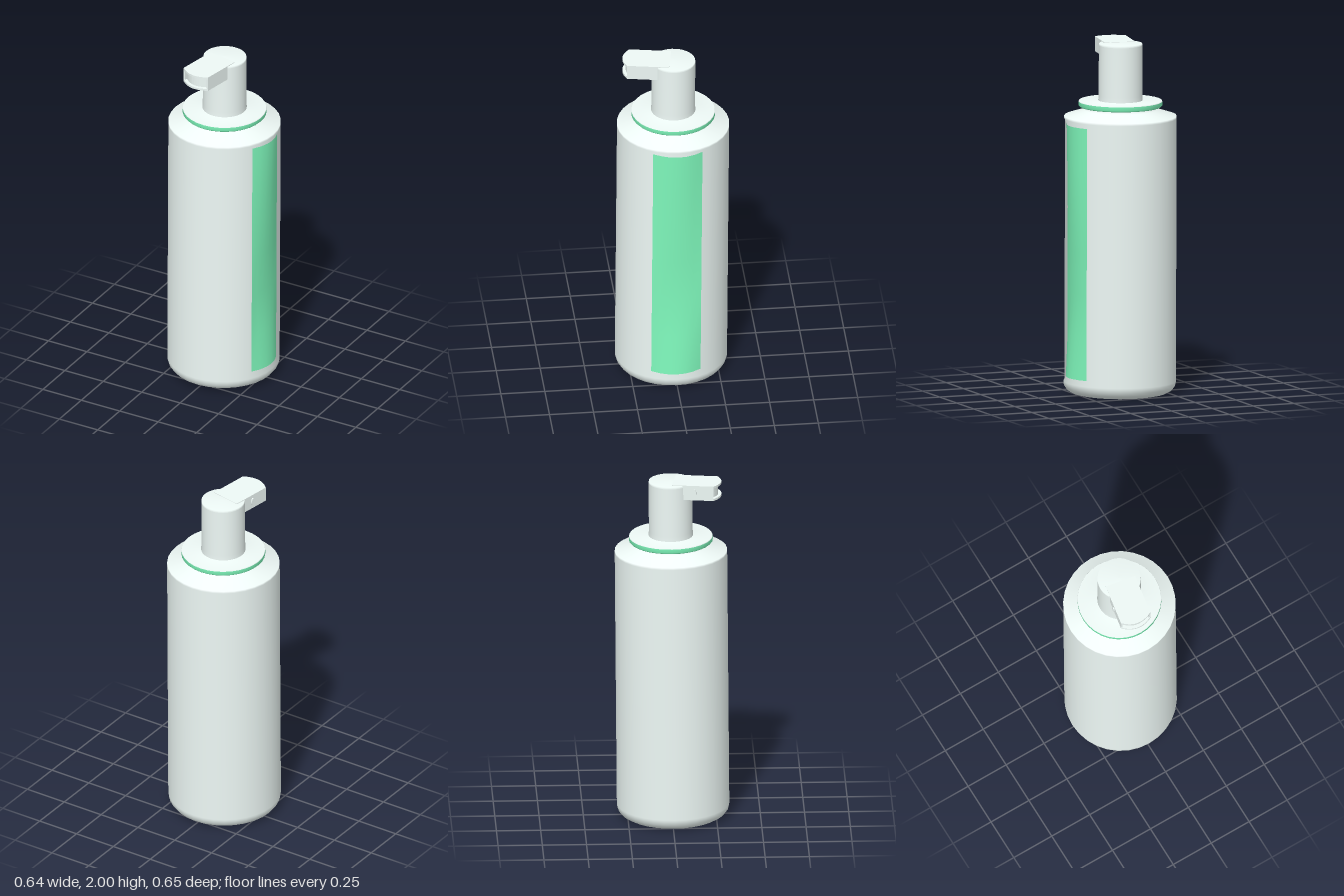
import * as THREE from 'three';

const pale = new THREE.MeshStandardMaterial({ color: 0xeef9f6, side: THREE.DoubleSide });
const green = new THREE.MeshStandardMaterial({ color: 0x7ff8bc, side: THREE.DoubleSide });
const STEP = Math.PI / 16; // 32-sided rounds
const R = 0.318, LOW = 0.07, HIGH = 1.57;

export function createModel() {
  const model = new THREE.Group();
  model.name = 'pumpBottle';

  const add = (name, geometry, material = pale, parent = model) => {
    const mesh = new THREE.Mesh(geometry, material);
    mesh.name = name;
    parent.add(mesh);
    return mesh;
  };
  const lathe = (points, segments = 32, start = 0) =>
    new THREE.LatheGeometry(points.map(([x, y]) => new THREE.Vector2(x, y)), segments, start, segments * STEP);
  // Maps a flat unit grid (u, v from 0 to 1) onto a curved surface
  const patch = (cols, rows, fn) => {
    const geo = new THREE.PlaneGeometry(1, 1, cols, rows);
    const pos = geo.attributes.position;
    for (let i = 0; i < pos.count; i++) {
      pos.setXYZ(i, ...fn(pos.getX(i) + 0.5, pos.getY(i) + 0.5));
    }
    geo.computeVertexNormals();
    return geo;
  };

  // Bottle shell: rounded base, side wall with a gap at +x, softly shaded shoulder and neck
  add('base', lathe([[0, 0], [0.25, 0], [0.272, 0.005], [0.298, 0.02], [0.313, 0.04], [R, 0.06], [R, LOW]]));
  add('sideWall', lathe([[R, LOW], [R, HIGH]], 26, Math.PI / 2 + 3 * STEP));
  add('shoulder', lathe([[R, HIGH], [R, 1.583], [0.205, 1.618], [0.2, 1.645]]));

  // Label panel: bowed at its ends, sagging to a kink a third of the way up
  const label = (s, t) => {
    const sag = t < 1 / 3 ? t * 3 : (1 - t) * 1.5;
    const bulge = 0.05 - 0.034 * sag;
    return [0.262 + bulge * (1 - s * s), 0.1 + 1.44 * t, -0.14 * s];
  };
  const wall = (s, t) => {
    const a = s * 3 * STEP;
    return [R * Math.cos(a), LOW + (HIGH - LOW) * t, -R * Math.sin(a)];
  };
  add('labelPanel', patch(6, 6, (u, v) => label(u * 2 - 1, v)), green);

  // Frame lofted from the wall opening to the panel edge, shaded to flow on from the wall
  const perimeter = (u) => {
    const k = Math.min(3, Math.floor(u * 4 + 1e-6)), f = u * 4 - k;
    return [[f * 2 - 1, 1], [1, 1 - f], [1 - f * 2, 0], [-1, f]][k];
  };
  const frame = patch(24, 1, (u, v) => (v > 0.5 ? wall : label)(...perimeter(u)));
  const { position, normal } = frame.attributes;
  for (let i = 0; i < position.count; i++) {
    const x = position.getX(i), z = position.getZ(i), r = Math.hypot(x, z);
    normal.setXYZ(i, x / r, 0, z / r);
  }
  add('labelFrame', frame);

  // Collar: green rim under a pale top
  add('collarRim', lathe([[0.195, 1.635], [0.23, 1.636], [0.237, 1.643], [0.237, 1.665]]), green);
  add('collarTop', lathe([[0.237, 1.665], [0.235, 1.67], [0.125, 1.672], [0.124, 1.69]]));

  // Pump stem
  add('stem', lathe([[0.126, 1.668], [0.124, 1.7], [0.123, 1.985]]));
  add('stemTop', lathe([[0.123, 1.985], [0.122, 1.996], [0, 1.999]]));

  // Spout: hollow-ended arm with a curved tip, turned slightly sideways
  const spout = new THREE.Group();
  spout.name = 'spout';
  spout.position.y = 2;
  spout.rotation.y = -0.17;
  model.add(spout);
  const slab = (name, halfWidth, end, top, thickness) => {
    const shape = new THREE.Shape();
    shape.moveTo(-halfWidth, 0.02);
    shape.lineTo(halfWidth, 0.02);
    shape.lineTo(halfWidth, end);
    shape.quadraticCurveTo(0, end + 0.066, -halfWidth, end);
    const geo = new THREE.ExtrudeGeometry(shape, { depth: thickness, bevelEnabled: false, curveSegments: 10 });
    geo.rotateX(Math.PI / 2);
    add(name, geo, pale, spout).position.y = top;
  };
  slab('spoutTop', 0.089, 0.257, 0, 0.012);
  slab('spoutCore', 0.08, 0.238, -0.012, 0.062);
  slab('spoutBottom', 0.089, 0.257, -0.074, 0.012);
  for (const side of [-1, 1]) {
    add('spoutSide', new THREE.BoxGeometry(0.01, 0.084, 0.237), pale, spout).position.set(side * 0.084, -0.043, 0.1385);
  }

  // Small oval stud on the spout's right side
  const stud = add('spoutStud', new THREE.CylinderGeometry(0.012, 0.012, 0.014, 16), pale, spout);
  stud.rotation.z = Math.PI / 2;
  stud.scale.x = 2;
  stud.position.set(-0.089, -0.043, 0.148);

  // Very slight backward lean
  model.rotation.x = -0.008;
  model.position.z = 0.008;
  const root = new THREE.Group();
  root.add(model);
  return root;
}
